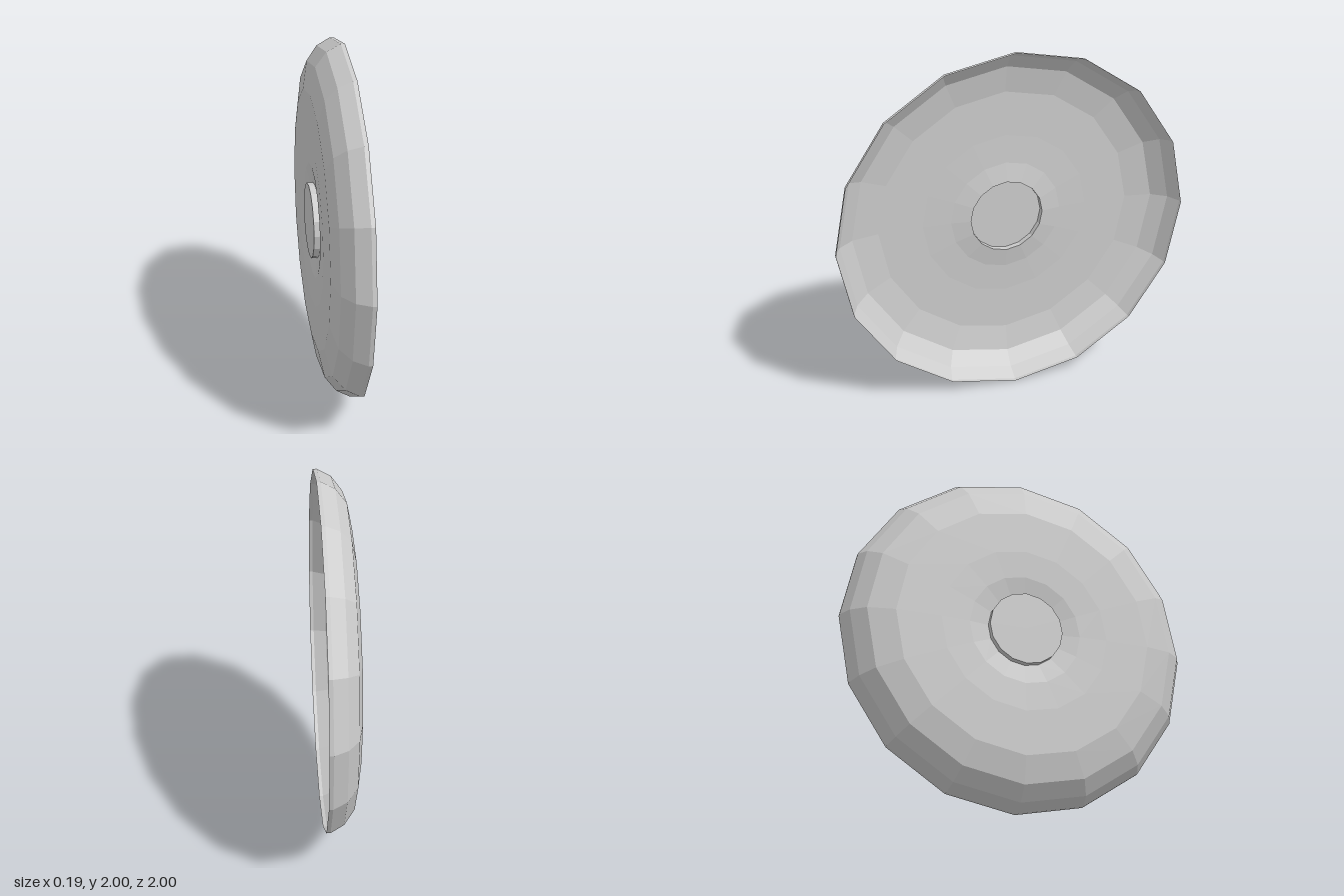
import * as THREE from 'three';

const SIDES = 16;

// Revolves [radius, x] pairs around the x axis as a thin faceted sheet
function revolved(name, profile, material) {
  const points = profile.map(([r, x]) => new THREE.Vector2(r, x));
  const geometry = new THREE.LatheGeometry(points, SIDES);
  geometry.rotateZ(-Math.PI / 2);
  const mesh = new THREE.Mesh(geometry, material);
  mesh.name = name;
  return mesh;
}

export function createModel() {
  const group = new THREE.Group();
  group.name = 'dish';
  const material = new THREE.MeshStandardMaterial({
    color: 0xcccccc, flatShading: true, side: THREE.DoubleSide,
  });

  // Round recess in the middle, which forms a foot on the outside
  group.add(revolved('centreRecess', [[0, -0.098], [0.21, -0.098], [0.21, -0.063]], material));

  // Shallow bowl: raised ring around the recess, flat base, curved wall
  group.add(revolved('bowl', [
    [0.21, -0.063], [0.32, -0.081], [0.48, -0.088], [0.73, -0.088],
    [0.88, -0.06], [0.96, 0], [1, 0.075],
  ], material));

  // Straight band at the edge
  group.add(revolved('rim', [[1, 0.075], [1, 0.097]], material));

  group.position.y = 1;
  const model = new THREE.Group();
  model.add(group);
  return model;
}
